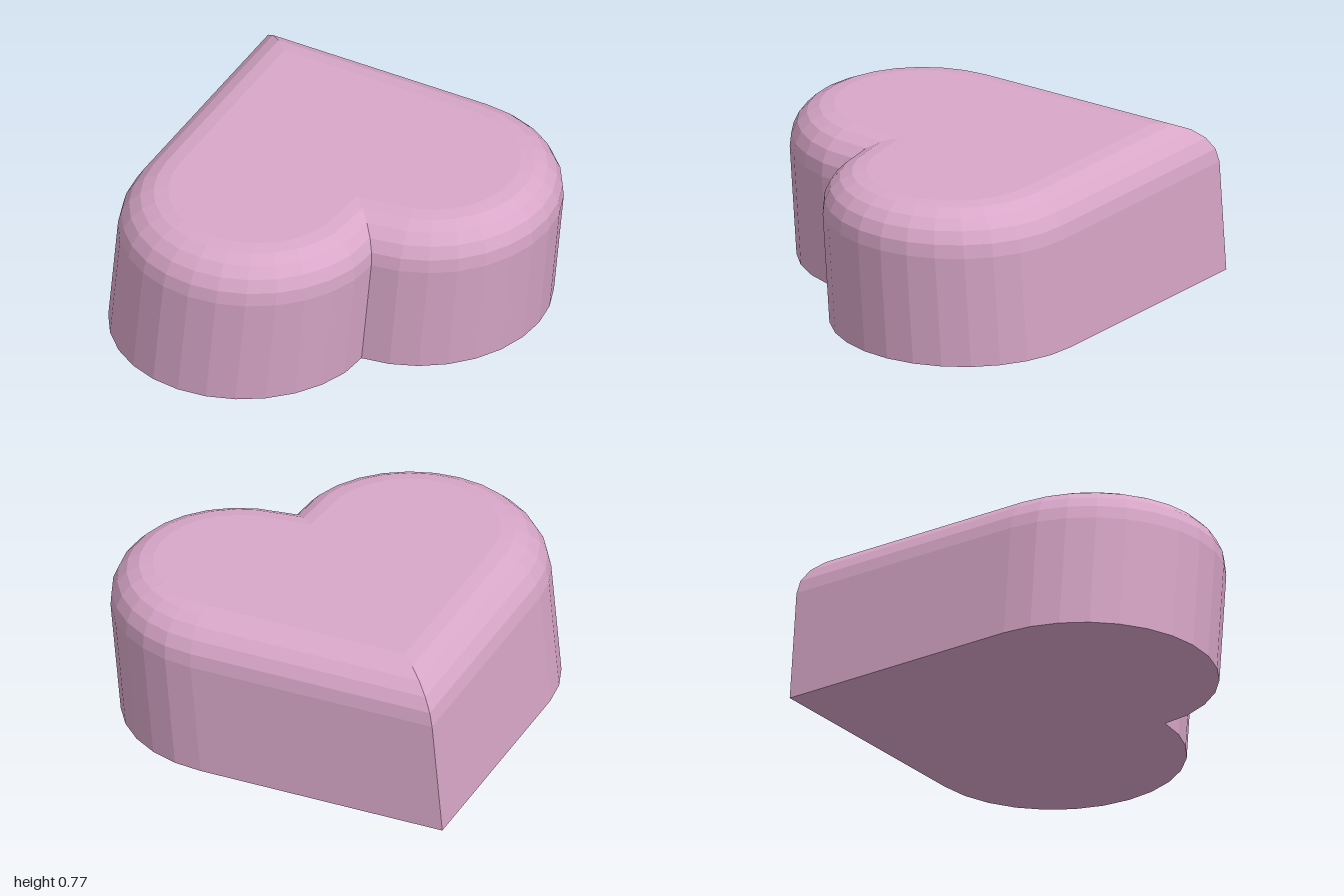
import * as THREE from 'three';

const HEIGHT = 0.755, BEVEL = 0.21, BEVEL_STEPS = 5, LOBE_STEPS = 14;

// Heart outline in (x, z): tip, right-hand lobe, notch, left-hand lobe
function heartOutline() {
  const pts = [new THREE.Vector2(-0.65, -0.975)];
  const arc = (cx, cz, r, from, to, first) => {
    for (let i = first; i <= LOBE_STEPS; i++) {
      const a = THREE.MathUtils.degToRad(from + (to - from) * i / LOBE_STEPS);
      pts.push(new THREE.Vector2(cx + r * Math.cos(a), cz + r * Math.sin(a)));
    }
  };
  arc(0.35, -0.065, 0.607, -74.8, 103, 0);
  arc(-0.375, 0.345, 0.622, 17, 195, 1);
  return pts;
}

// Move every edge inward by d, keeping mitred corners
function inset(pts, d) {
  const n = pts.length;
  const normal = (a, b) => new THREE.Vector2(b.y - a.y, a.x - b.x).normalize();
  return pts.map((p, i) => {
    const n1 = normal(pts[(i + n - 1) % n], p);
    const n2 = normal(p, pts[(i + 1) % n]);
    const k = d / (1 + n1.dot(n2));
    return p.clone().addScaledVector(n1.add(n2), -k);
  });
}

function heartGeometry() {
  const outline = heartOutline(), n = outline.length;
  const rings = [{ y: 0, pts: outline }];
  for (let i = 0; i <= BEVEL_STEPS; i++) {
    const a = i / BEVEL_STEPS * Math.PI / 2;
    rings.push({
      y: HEIGHT - BEVEL + BEVEL * Math.sin(a),
      pts: inset(outline, BEVEL * (1 - Math.cos(a))),
    });
  }

  // The block leans slightly to one side
  const positions = [], index = [];
  for (const { y, pts } of rings) {
    for (const p of pts) {
      positions.push(p.x + 0.09 * y, y + 0.0075 * (p.x + 1), p.y + 0.027 * y);
    }
  }

  // Walls and rounded upper rim
  for (let r = 0; r < rings.length - 1; r++) {
    for (let j = 0; j < n; j++) {
      const a = r * n + j, b = r * n + (j + 1) % n;
      index.push(a, a + n, b + n, a, b + n, b);
    }
  }

  // Flat bottom and top
  const top = (rings.length - 1) * n;
  for (const [a, b, c] of THREE.ShapeUtils.triangulateShape(outline, [])) index.push(a, b, c);
  for (const [a, b, c] of THREE.ShapeUtils.triangulateShape(rings.at(-1).pts, [])) {
    index.push(top + a, top + c, top + b);
  }

  const geometry = new THREE.BufferGeometry();
  geometry.setAttribute('position', new THREE.Float32BufferAttribute(positions, 3));
  geometry.setIndex(index);
  const flat = geometry.toNonIndexed();
  flat.computeVertexNormals();
  return flat;
}

export function createModel() {
  const pink = new THREE.MeshStandardMaterial({ color: 0xd9a7c9, flatShading: true });
  pink.name = 'pink';
  const heart = new THREE.Mesh(heartGeometry(), pink);
  heart.name = 'heart';
  const model = new THREE.Group();
  model.name = 'heartBlock';
  model.add(heart);
  return model;
}
